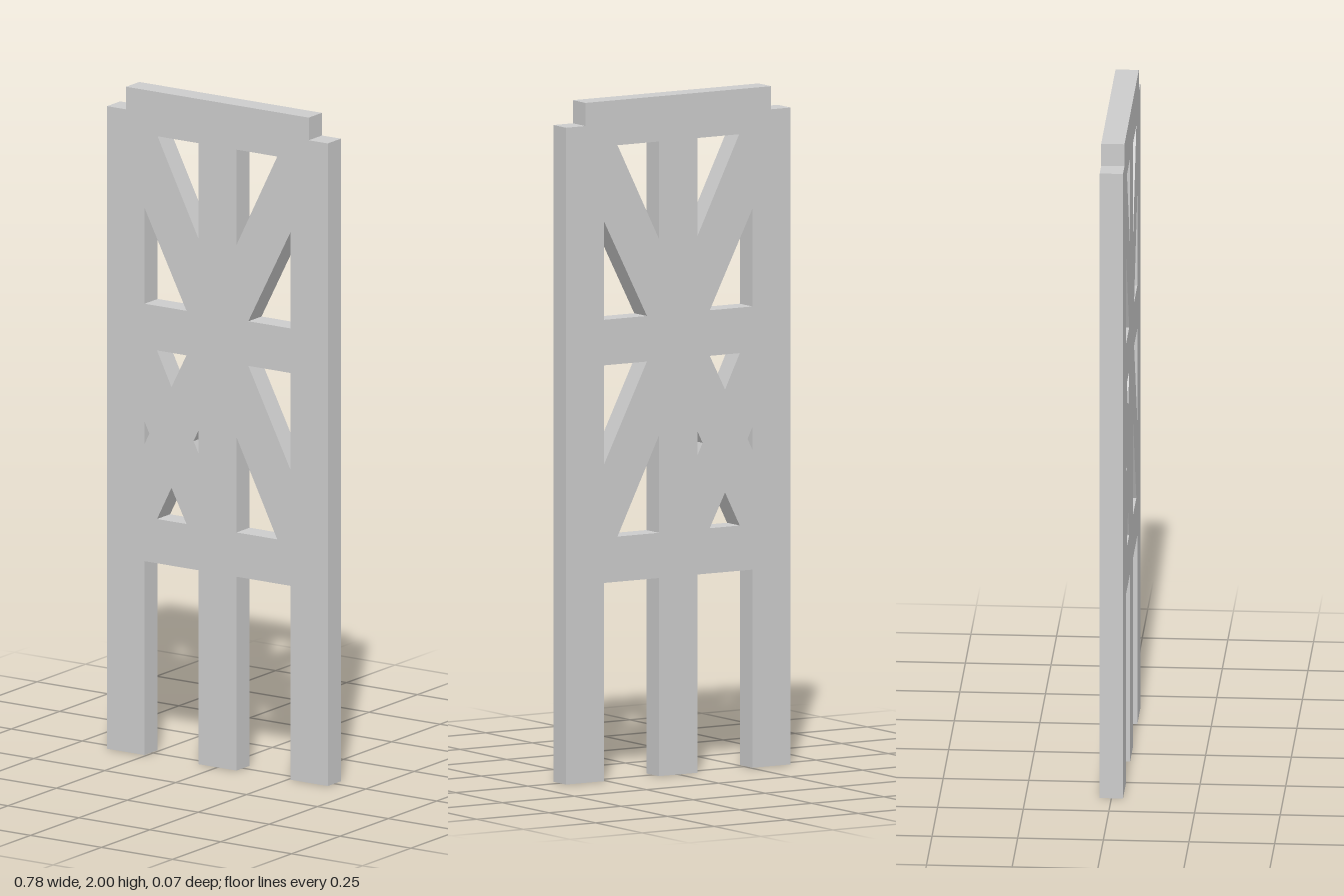
import * as THREE from 'three';

const H = 0.389;      // half width of the panel
const IN = 0.257;     // inner edge of the outer legs
const MID = 0.067;    // half width of the centre post
const DEPTH = 0.068;

const toPoints = (pairs) => pairs.map(([x, y]) => new THREE.Vector2(x, y));
const mirrorX = (pairs) => pairs.map(([x, y]) => [-x, y]);

export function createModel() {
  const group = new THREE.Group();
  group.name = 'trussPanel';

  // Outline: three legs below, stepped shoulders on top
  const half = [
    [MID, 0], [MID, 0.583], [IN, 0.583], [IN, 0],
    [H, 0], [H, 1.932], [0.322, 1.932], [0.322, 2],
  ];
  const panel = new THREE.Shape(toPoints([...half, ...mirrorX(half).reverse()]));

  // Upper bay: mirrored triangular openings beside the diagonal braces
  const upper = [
    [[MID, 1.867], [0.211, 1.867], [MID, 1.58]],
    [[IN, 1.645], [IN, 1.357], [0.109, 1.357]],
  ];
  // Lower bay, left: a single diagonal brace
  const singleBrace = [
    [[0.109, 1.223], [IN, 1.223], [IN, 0.933]],
    [[MID, 1.003], [MID, 0.716], [0.211, 0.716]],
  ];
  // Lower bay, right: crossed braces leave four small openings
  const crossBrace = [
    [[-0.213, 1.223], [-0.109, 1.223], [-0.162, 1.12]],
    [[-0.213, 0.716], [-0.109, 0.716], [-0.162, 0.817]],
    [[-IN, 1.003], [-IN, 0.935], [-0.24, 0.969]],
    [[-MID, 1.003], [-MID, 0.935], [-0.084, 0.969]],
  ];
  for (const hole of [...upper, ...upper.map(mirrorX), ...singleBrace, ...crossBrace]) {
    panel.holes.push(new THREE.Path(toPoints(hole)));
  }

  const geometry = new THREE.ExtrudeGeometry(panel, { depth: DEPTH, bevelEnabled: false });
  geometry.translate(0, 0, -DEPTH / 2);
  const mesh = new THREE.Mesh(
    geometry,
    new THREE.MeshStandardMaterial({ color: 0xcccccc, flatShading: true }),
  );
  mesh.name = 'bracedFrame';
  group.add(mesh);
  return group;
}
